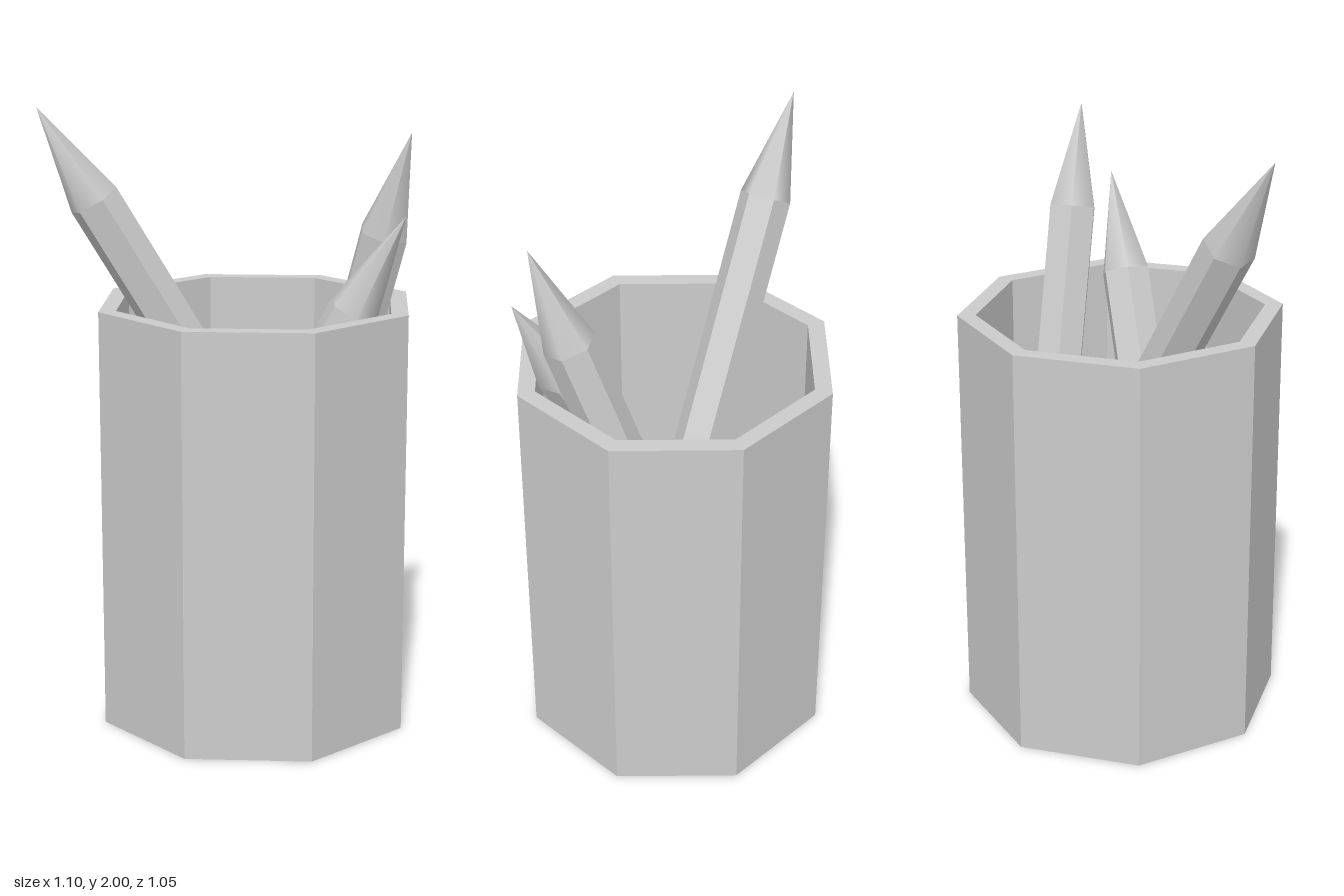
import * as THREE from 'three';

const CUP = { x: 0.023, radius: 0.523, inner: 0.465, height: 1.37, floor: 0.13 };
const PENCIL_RADIUS = 0.083;
const TIP_LENGTH = 0.343;

const smooth = new THREE.MeshStandardMaterial({ color: 0xcccccc });
const faceted = new THREE.MeshStandardMaterial({ color: 0xcccccc, flatShading: true });

// Eight-sided cup: outer wall, rim, inner wall and floor in one profile
function createCup() {
  const { radius, inner, height, floor } = CUP;
  const profile = [
    [0, 0], [radius, 0], [radius, height], [inner, height], [inner, floor], [0, floor],
  ].map(([r, y]) => new THREE.Vector2(r, y));
  const cup = new THREE.Mesh(new THREE.LatheGeometry(profile, 8), faceted);
  cup.name = 'cup';
  cup.position.x = CUP.x;
  return cup;
}

// Hexagonal pencil leaning from its lower end to its point; roll turns it on its axis
function createPencil(name, end, point, rollDegrees) {
  const from = new THREE.Vector3(...end);
  const axis = new THREE.Vector3(...point).sub(from);
  const length = axis.length();
  axis.normalize();
  const side = new THREE.Vector3(-axis.z, 0, axis.x).normalize();
  const lean = new THREE.Vector3().crossVectors(axis, side);
  const start = THREE.MathUtils.degToRad(30 - rollDegrees);
  const shaftLength = length - TIP_LENGTH;

  const shaft = new THREE.Mesh(
    new THREE.CylinderGeometry(PENCIL_RADIUS, PENCIL_RADIUS, shaftLength, 6, 1, false, start), faceted);
  shaft.name = 'pencilShaft';
  shaft.position.y = shaftLength / 2;

  const tip = new THREE.Mesh(
    new THREE.ConeGeometry(PENCIL_RADIUS, TIP_LENGTH, 6, 1, true, start), smooth);
  tip.name = 'pencilTip';
  tip.position.y = shaftLength + TIP_LENGTH / 2;

  const pencil = new THREE.Group();
  pencil.name = name;
  pencil.add(shaft, tip);
  pencil.quaternion.setFromRotationMatrix(new THREE.Matrix4().makeBasis(lean, axis, side));
  pencil.position.copy(from);
  return pencil;
}

export function createModel() {
  const model = new THREE.Group();
  model.name = 'pencilCup';
  model.add(
    createCup(),
    createPencil('rightPencil', [0.304, 0.2, -0.26], [-0.55, 2, 0.377], 16),
    createPencil('leftFrontPencil', [-0.23, 0.2, 0.175], [0.541, 1.682, 0.022], 10),
    createPencil('leftBackPencil', [-0.023, 0.22, -0.297], [0.515, 1.925, -0.079], -14.6),
  );
  return model;
}
